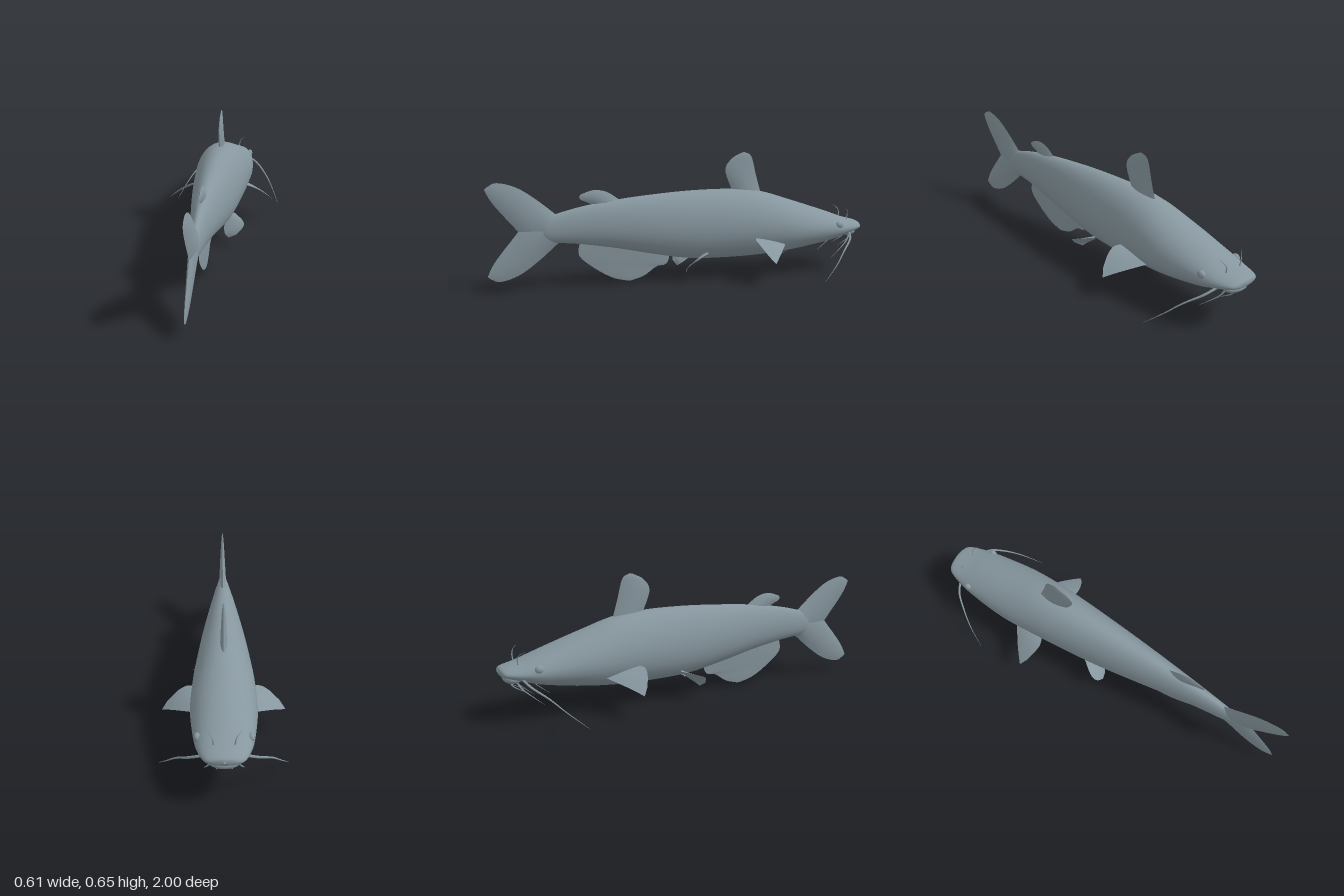
import * as THREE from 'three';
import { toCreasedNormals } from 'three/addons/utils/BufferGeometryUtils.js';

const V = (p) => new THREE.Vector3(...p);
const skin = new THREE.MeshStandardMaterial({ color: 0x87979f, side: THREE.DoubleSide });
skin.name = 'slateGreySkin';

// Skin a list of closed rings that all have the same number of points
function loft(rings, crease) {
  const n = rings[0].length, index = [];
  for (let r = 0; r < rings.length - 1; r++) {
    for (let i = 0; i < n; i++) {
      const a = r * n + i, b = r * n + (i + 1) % n;
      index.push(a, b, a + n, b, b + n, a + n);
    }
  }
  const geo = new THREE.BufferGeometry().setFromPoints(rings.flat());
  geo.setIndex(index);
  if (crease) return toCreasedNormals(geo, crease);
  geo.computeVertexNormals();
  return geo;
}

function part(name, geo) {
  const mesh = new THREE.Mesh(geo, skin);
  mesh.name = name;
  return mesh;
}

// Body from stations [half width, bottom, top, z]
function bodyGeometry() {
  const stations = [
    [0.004, 0.236, 0.246, -1], [0.06, 0.222, 0.257, -0.993], [0.09, 0.212, 0.266, -0.97],
    [0.116, 0.19, 0.285, -0.9], [0.136, 0.16, 0.322, -0.8], [0.155, 0.126, 0.39, -0.6],
    [0.15, 0.108, 0.446, -0.42], [0.138, 0.104, 0.465, -0.25], [0.117, 0.112, 0.466, -0.03],
    [0.092, 0.15, 0.454, 0.18], [0.068, 0.19, 0.437, 0.36], [0.045, 0.222, 0.41, 0.54],
    [0.028, 0.24, 0.372, 0.69], [0.018, 0.256, 0.35, 0.73], [0.002, 0.3, 0.306, 0.745],
  ];
  const curve = (k) => new THREE.CatmullRomCurve3(
    stations.map((s) => V([s[0], s[k], s[3]])), false, 'catmullrom');
  const low = curve(1), high = curve(2), rings = [];
  for (let r = 0; r <= 70; r++) {
    const a = low.getPoint(r / 70), b = high.getPoint(r / 70), ring = [];
    const mid = (a.y + b.y) / 2, half = (b.y - a.y) / 2;
    for (let i = 0; i < 32; i++) {
      const t = i / 32 * Math.PI * 2;
      // belly is slightly fuller than the back
      const y = Math.sin(t) - 0.12 * Math.cos(t) ** 2;
      ring.push(V([a.x * Math.cos(t), mid + half * y, a.z]));
    }
    rings.push(ring);
  }
  return loft(rings);
}

// Lens-shaped fin between a leading and a trailing edge, thinning to the tip
function fin(name, lead, trail, thick) {
  const A = new THREE.CatmullRomCurve3(lead.map(V), false, 'catmullrom');
  const B = new THREE.CatmullRomCurve3(trail.map(V), false, 'catmullrom');
  const a0 = A.getPoint(0), b0 = B.getPoint(0);
  const along = A.getPoint(1).add(B.getPoint(1)).sub(a0).sub(b0);
  const normal = b0.clone().sub(a0).cross(along).normalize();
  const rings = [], rows = 16, cols = 8;
  for (let r = 0; r <= rows; r++) {
    const t = r / rows, a = A.getPoint(t), b = B.getPoint(t), ring = [];
    for (let i = 0; i < cols * 2; i++) {
      const s = i <= cols ? i / cols : 2 - i / cols;
      const h = 4 * s * (1 - s) * thick * (1 - t) * (i < cols ? 1 : -1);
      ring.push(a.clone().lerp(b, s).addScaledVector(normal, h));
    }
    rings.push(ring);
  }
  return part(name, loft(rings, 0.5));
}

// Fin standing on the centre line, points given as [z, y]
function medianFin(name, lead, trail, thick) {
  const flat = (list) => list.map(([z, y]) => [0, y, z]);
  return fin(name, flat(lead), flat(trail), thick);
}

// Whisker tapering to a point
function barbel(name, points, radius) {
  const curve = new THREE.CatmullRomCurve3(points.map(V)), rows = 16;
  const frames = curve.computeFrenetFrames(rows), rings = [];
  for (let r = 0; r <= rows; r++) {
    const c = curve.getPointAt(r / rows), rad = radius * (1 - 0.92 * r / rows), ring = [];
    for (let i = 0; i < 6; i++) {
      const t = i / 6 * Math.PI * 2;
      ring.push(c.clone().addScaledVector(frames.normals[r], Math.cos(t) * rad)
        .addScaledVector(frames.binormals[r], Math.sin(t) * rad));
    }
    rings.push(ring);
  }
  return part(name, loft(rings));
}

function ellipsoid(name, centre, size) {
  const mesh = part(name, new THREE.SphereGeometry(1, 20, 14));
  mesh.position.set(...centre);
  mesh.scale.set(...size);
  return mesh;
}

// Parts that come in pairs, built on the +x side
function pairedParts() {
  const side = new THREE.Group();
  side.add(
    ellipsoid('eye', [0.117, 0.258, -0.835], [0.016, 0.02, 0.022]),
    fin('pectoralFin',
      [[0.1, 0.188, -0.535], [0.19, 0.163, -0.475], [0.25, 0.142, -0.43], [0.3, 0.118, -0.388]],
      [[0.1, 0.222, -0.37], [0.165, 0.221, -0.333], [0.215, 0.2, -0.336], [0.27, 0.155, -0.36]], 0.008),
    fin('pelvicFin',
      [[0.055, 0.15, -0.1], [0.05, 0.1, -0.04], [0.058, 0.07, 0], [0.08, 0.055, 0.015]],
      [[0.1, 0.15, -0.1], [0.15, 0.135, -0.03], [0.155, 0.118, 0.01], [0.12, 0.08, 0.028]], 0.007),
    barbel('mouthCornerBarbel',
      [[0.09, 0.215, -0.91], [0.15, 0.188, -0.885], [0.21, 0.14, -0.82], [0.26, 0.075, -0.75], [0.302, 0.004, -0.665]], 0.007),
    barbel('outerChinBarbel',
      [[0.055, 0.2, -0.93], [0.07, 0.165, -0.91], [0.085, 0.12, -0.86], [0.09, 0.075, -0.805]], 0.005),
    barbel('innerChinBarbel',
      [[0.025, 0.2, -0.95], [0.03, 0.175, -0.945], [0.035, 0.15, -0.91], [0.04, 0.13, -0.87]], 0.004),
    barbel('nostrilBarbel',
      [[0.045, 0.27, -0.915], [0.05, 0.305, -0.918], [0.062, 0.325, -0.91], [0.078, 0.34, -0.89]], 0.004),
  );
  return side;
}

export function createModel() {
  const fish = new THREE.Group();
  fish.name = 'catfish';
  fish.add(part('body', bodyGeometry()));
  fish.add(ellipsoid('lowerJaw', [0, 0.205, -0.935], [0.072, 0.026, 0.046]));

  fish.add(medianFin('dorsalFin',
    [[-0.43, 0.42], [-0.398, 0.53], [-0.37, 0.63], [-0.33, 0.655]],
    [[-0.28, 0.42], [-0.226, 0.555], [-0.255, 0.618], [-0.315, 0.652]], 0.018));
  fish.add(medianFin('adiposeFin',
    [[0.32, 0.42], [0.4, 0.476], [0.47, 0.49], [0.535, 0.472]],
    [[0.45, 0.4], [0.5, 0.428], [0.535, 0.444], [0.545, 0.46]], 0.016));
  fish.add(medianFin('analFin',
    [[0.09, 0.19], [0.08, 0.13], [0.1, 0.087], [0.15, 0.078], [0.215, 0.035], [0.285, 0.014]],
    [[0.53, 0.26], [0.55, 0.21], [0.546, 0.155], [0.46, 0.083], [0.375, 0.034], [0.3, 0.014]], 0.012));

  // Forked tail: the lower lobe repeats the upper one below y = 0.302
  const outer = [[0.64, 0.36], [0.755, 0.457], [0.85, 0.52], [0.94, 0.545], [0.985, 0.528]];
  const inner = [[0.66, 0.23], [0.79, 0.25], [0.885, 0.35], [0.965, 0.45], [0.999, 0.515]];
  const flip = (list) => list.map(([z, y]) => [z, 0.604 - y]);
  fish.add(medianFin('upperTailLobe', outer, inner, 0.024));
  fish.add(medianFin('lowerTailLobe', flip(outer), flip(inner), 0.024));

  const left = pairedParts(), right = pairedParts();
  left.name = 'leftSide';
  right.name = 'rightSide';
  right.scale.x = -1;
  fish.add(left, right);
  return fish;
}
